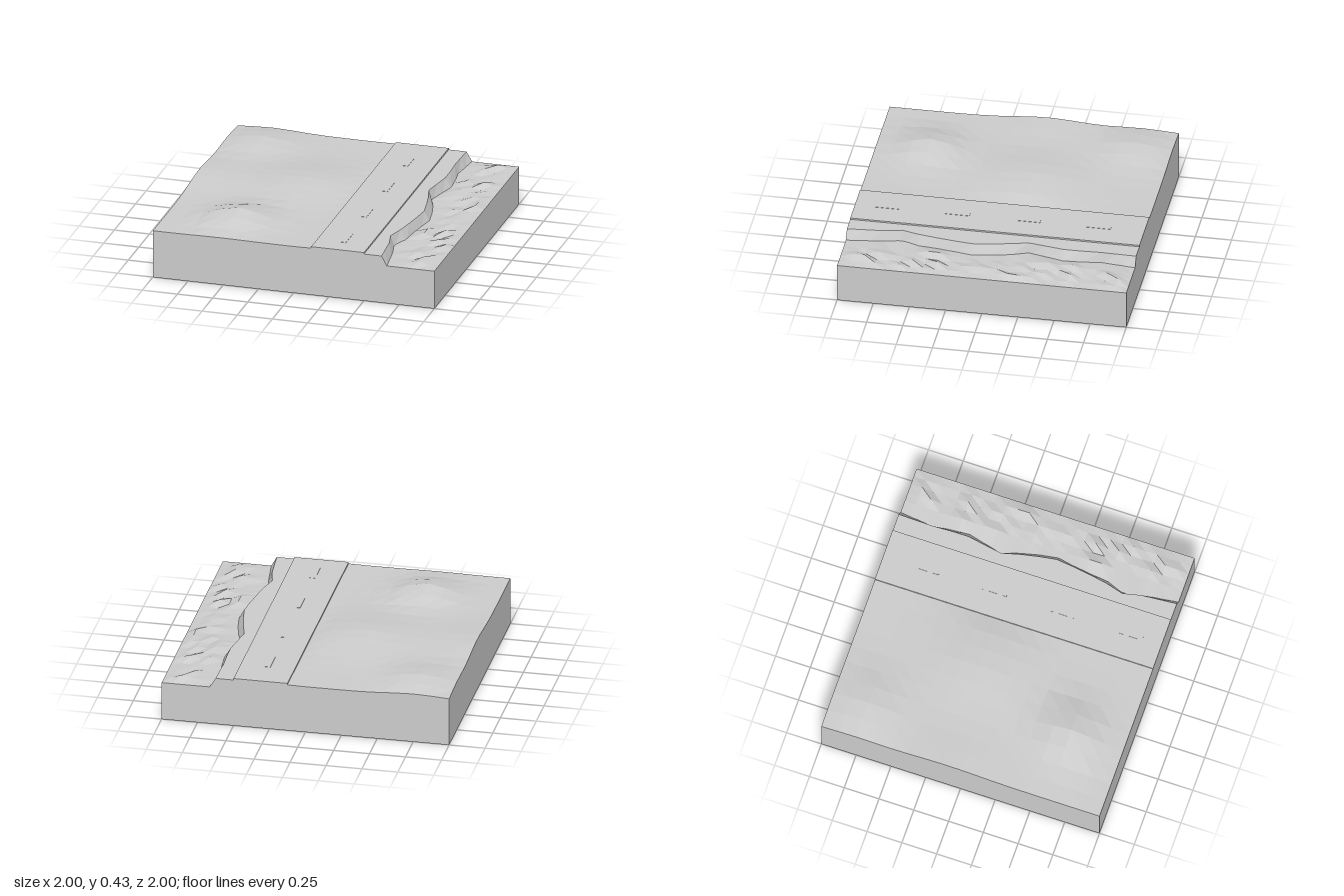
import * as THREE from 'three';

const BASE = 0.26, LAND = 0.34, WATER = 0.274;
const material = new THREE.MeshStandardMaterial({ color: 0xcccccc, flatShading: true });

// Shoreline: [z, x of upper lip, x at the water]
const SHORE = [
  [-1, 0.625, 0.675], [-0.75, 0.62, 0.645], [-0.52, 0.63, 0.68], [-0.25, 0.585, 0.61],
  [-0.08, 0.63, 0.675], [0.12, 0.665, 0.71], [0.3, 0.645, 0.675], [0.5, 0.61, 0.655],
  [0.62, 0.575, 0.605], [0.75, 0.605, 0.635], [1, 0.625, 0.67],
];
function shore(z, column) {
  const i = Math.min(SHORE.length - 2, Math.max(0, SHORE.findIndex((p) => p[0] >= z) - 1));
  const a = SHORE[i], b = SHORE[i + 1];
  return THREE.MathUtils.lerp(a[column], b[column], (z - a[0]) / (b[0] - a[0]));
}

// Hills: x, z, height, spread
const HILLS = [
  [-0.5, 0.625, 0.085, 0.15], [-0.25, -0.125, 0.05, 0.25],
  [-0.75, -0.75, 0.054, 0.17], [-1, -0.1, 0.033, 0.22],
];
function landHeight(x, z) {
  if (x > 0.1) return LAND + 0.002;
  let y = LAND;
  for (const [hx, hz, h, s] of HILLS) {
    y += h * Math.exp(-((x - hx) ** 2 + (z - hz) ** 2) / (2 * s * s));
  }
  return y;
}

// Repeatable ripple height; flat along the tile border
function waveHeight(x, z) {
  if (x > 0.99 || Math.abs(z) > 0.99) return WATER;
  const n = Math.sin(Math.round(x * 16) * 12.99 + Math.round(z * 12) * 78.23) * 43758.55;
  return WATER + 0.033 * (n - Math.floor(n)) ** 2;
}

function box(name, x0, x1, y0, y1, z0, z1, sx = 1, sz = 1) {
  const g = new THREE.BoxGeometry(x1 - x0, y1 - y0, z1 - z0, sx, 1, sz);
  g.translate((x0 + x1) / 2, (y0 + y1) / 2, (z0 + z1) / 2);
  const mesh = new THREE.Mesh(g, material);
  mesh.name = name;
  return mesh;
}

// Moves every vertex of a mesh by rule(vertex)
function reshape(mesh, rule) {
  const p = mesh.geometry.attributes.position, v = new THREE.Vector3();
  for (let i = 0; i < p.count; i++) {
    rule(v.fromBufferAttribute(p, i));
    p.setXYZ(i, v.x, v.y, v.z);
  }
  mesh.geometry.computeVertexNormals();
  return mesh;
}

export function createModel() {
  const model = new THREE.Group();
  model.name = 'coastalRoadTile';

  model.add(box('base', -1, 1, 0, BASE, -1, 1));

  // Hilly ground, its last column pulled to the sloping bank
  model.add(reshape(box('land', -1, 0.625, BASE, LAND, -1, 1, 13, 16), (v) => {
    const top = v.y > 0.3;
    if (v.x > 0.6) v.x = shore(v.z, top ? 1 : 2);
    if (top) v.y = landHeight(v.x, v.z);
  }));

  // Rippled water, starting just inside the bank
  model.add(reshape(box('water', 0.6875, 1, BASE, WATER, -1, 1, 5, 24), (v) => {
    const atBank = v.x < 0.7;
    if (v.y > BASE + 0.005) v.y = atBank ? WATER : waveHeight(v.x, v.z);
    if (atBank) v.x = shore(v.z, 2) - 0.012;
  }));

  // Road with dashed centre line
  model.add(box('road', 0.125, 0.5, 0.33, 0.353, -1, 1));
  const markings = new THREE.Group();
  markings.name = 'laneMarkings';
  for (let i = 0; i < 4; i++) {
    const z = -0.685 + i * 0.488;
    markings.add(box('laneDash', 0.293, 0.331, 0.345, 0.355, z - 0.085, z + 0.085));
  }
  model.add(markings);

  return model;
}
